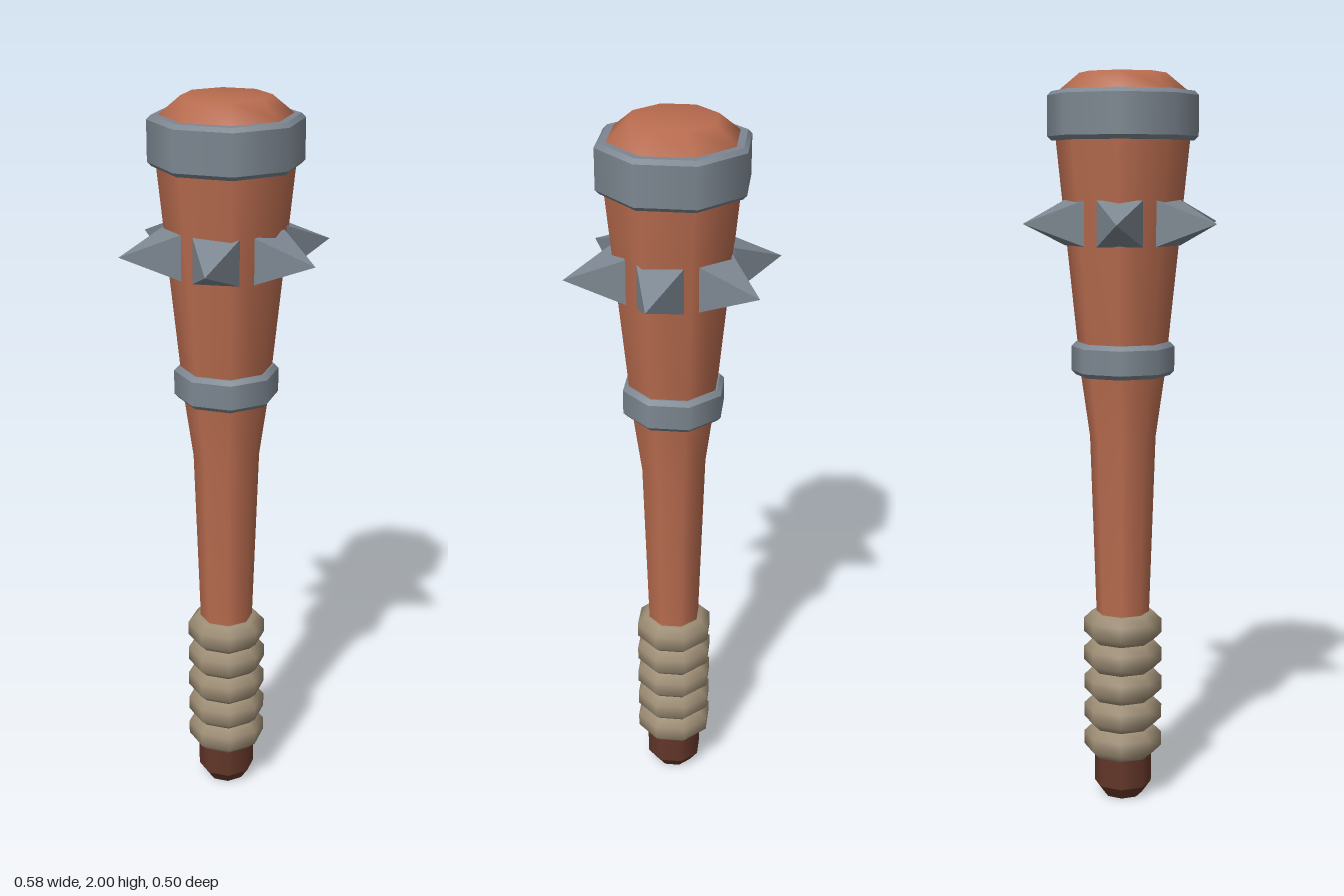
import * as THREE from 'three';
import { mergeGeometries } from 'three/addons/utils/BufferGeometryUtils.js';

const SIDES = 8;
const material = (name, color) => {
  const m = new THREE.MeshStandardMaterial({ color });
  m.name = name;
  return m;
};

// Octagonal turned shape; profile runs bottom to top as [radius, y]
const turned = (profile) =>
  new THREE.LatheGeometry(profile.map(([r, y]) => new THREE.Vector2(r, y)), SIDES);

// Same, but with a crisp edge at every profile corner
const creased = (profile) =>
  mergeGeometries(profile.slice(1).map((p, i) => turned([profile[i], p])));

export function createModel() {
  const group = new THREE.Group();
  const wood = material('wood', 0xb96c4f);
  const darkWood = material('dark wood', 0x633629);
  const steel = material('steel', 0x7d8791);
  const rope = material('rope', 0x9c8c74);

  const add = (name, geometry, mat) => {
    const mesh = new THREE.Mesh(geometry, mat);
    mesh.name = name;
    group.add(mesh);
    return mesh;
  };

  // Wooden shaft flaring into the head, with a domed end
  add('shaft', turned([[0.074, 0.11], [0.074, 0.55], [0.09, 1.03], [0.114, 1.2], [0.18, 1.84], [0.18, 1.9]]), wood);
  add('headCap', turned([[0.17, 1.9], [0.17, 1.955], [0.115, 2], [0, 2]]), wood);

  // Pommel at the foot of the handle
  add('pommel', creased([[0, 0], [0.055, 0], [0.08, 0.035], [0.08, 0.14], [0, 0.14]]), darkWood);

  // Rope grip: five stacked coils
  const pitch = 0.083;
  for (let i = 0; i < 5; i++) {
    const y = 0.12 + i * pitch;
    add('gripCoil', turned([
      [0.07, y], [0.086, y], [0.109, y + 0.022], [0.109, y + 0.061], [0.086, y + pitch], [0.07, y + pitch],
    ]), rope);
  }

  // Bevelled steel bands
  const band = (name, y0, y1, r, inner, bevel) =>
    add(name, creased([
      [inner, y0], [r - bevel, y0], [r, y0 + bevel], [r, y1 - bevel], [r - bevel, y1], [inner, y1],
    ]), steel);
  band('lowerBand', 1.2, 1.29, 0.14, 0.1, 0.012);
  band('upperBand', 1.825, 1.953, 0.201, 0.165, 0.011);

  // Ring of six square-based spikes
  const spike = new THREE.ConeGeometry(0.085, 0.147, 4)
    .rotateY(Math.PI / 4)
    .rotateZ(-Math.PI / 2)
    .translate(0.2165, 1.61, 0)
    .toNonIndexed();
  spike.computeVertexNormals();
  for (let i = 0; i < 6; i++) add('spike', spike, steel).rotation.y = (i * Math.PI) / 3;

  return group;
}
